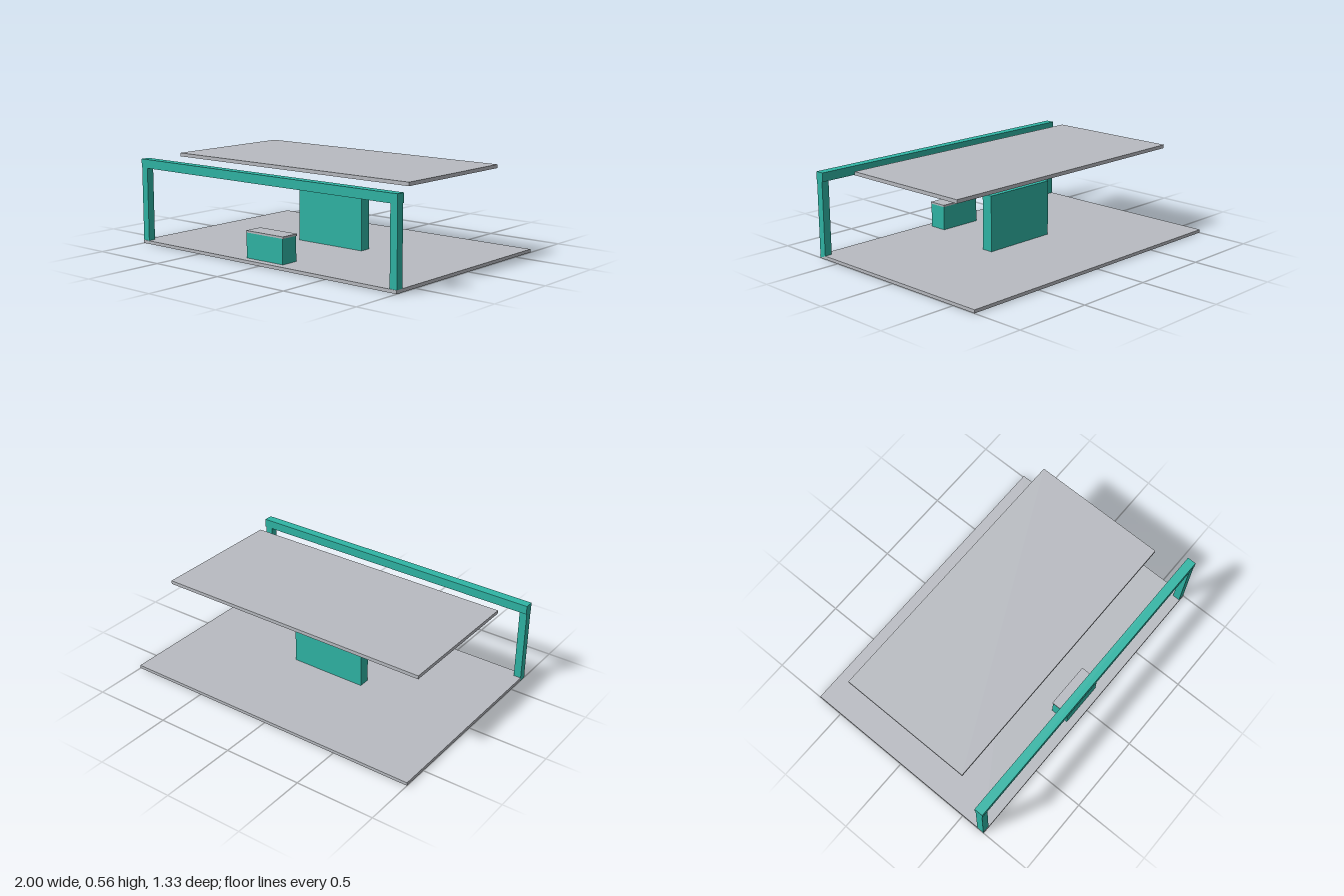
import * as THREE from 'three';

export function createModel() {
  const group = new THREE.Group();
  const grey = new THREE.MeshStandardMaterial({ color: 0xb8bbc1 });
  grey.name = 'light grey';
  const teal = new THREE.MeshStandardMaterial({ color: 0x2fb5a5 });
  teal.name = 'teal';

  // Box given by its lower and upper corners
  function box(name, material, [x0, y0, z0], [x1, y1, z1]) {
    const mesh = new THREE.Mesh(new THREE.BoxGeometry(x1 - x0, y1 - y0, z1 - z0), material);
    mesh.position.set((x0 + x1) / 2, (y0 + y1) / 2, (z0 + z1) / 2);
    mesh.name = name;
    group.add(mesh);
  }

  // Floor, with the uprights passing through to its underside
  box('floor', grey, [-1, 0.001, -0.667], [1, 0.021, 0.667]);

  // Entrance frame
  box('leftPost', teal, [0.952, 0, 0.617], [1, 0.48, 0.664]);
  box('rightPost', teal, [-1, 0, 0.617], [-0.952, 0.48, 0.664]);
  box('frontBeam', teal, [-1, 0.48, 0.61], [1, 0.535, 0.667]);

  // Central display wall
  box('displayWall', teal, [-0.25, 0, -0.036], [0.25, 0.37, 0.036]);

  // Reception counter
  box('counterBody', teal, [-0.143, 0, 0.502], [0.143, 0.173, 0.618]);
  box('counterTop', grey, [-0.146, 0.173, 0.499], [0.146, 0.185, 0.619]);

  // Suspended ceiling panel
  box('ceilingPanel', grey, [-0.9, 0.535, -0.434], [0.9, 0.557, 0.434]);

  return group;
}
